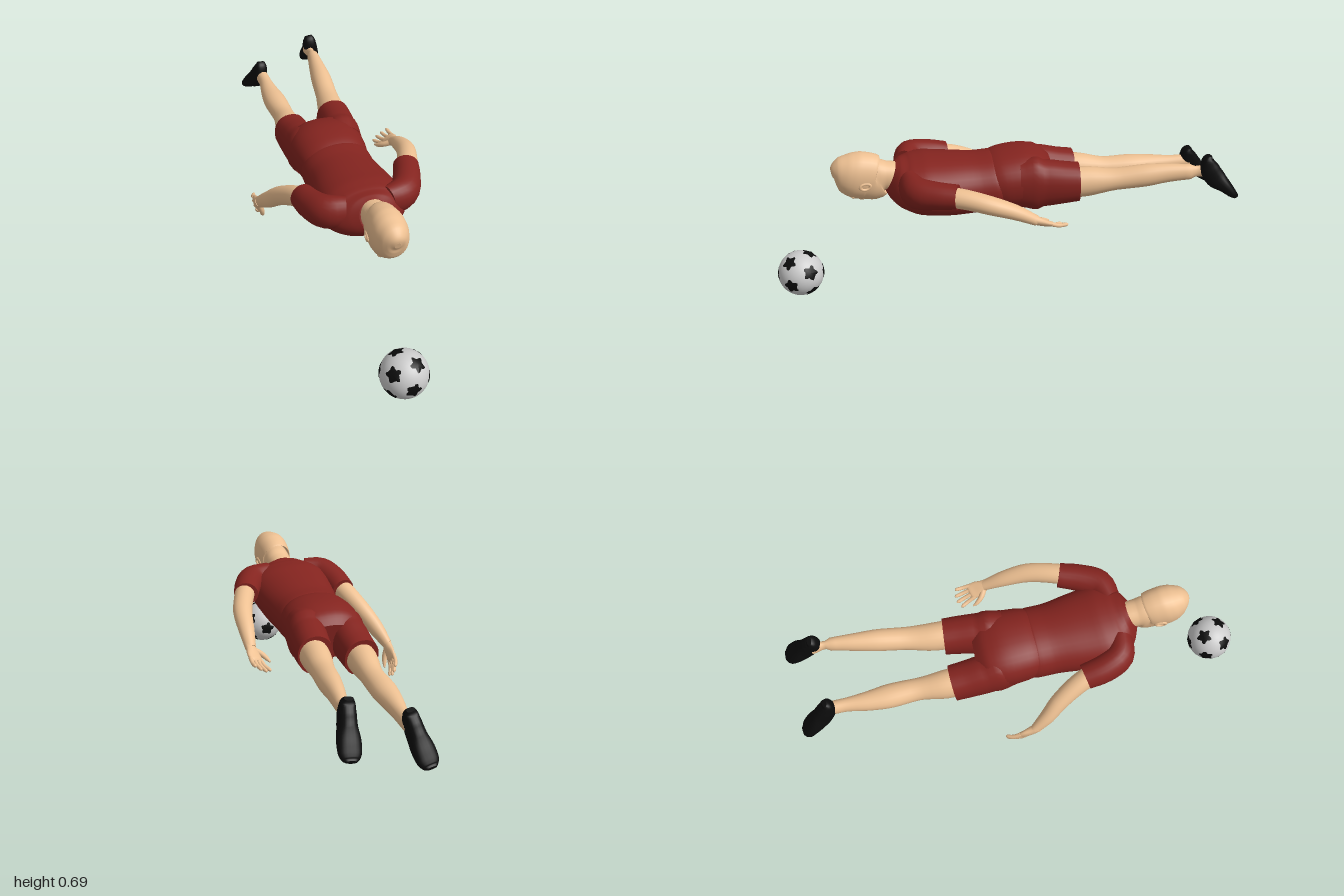
import * as THREE from 'three';

const material = (color) => new THREE.MeshStandardMaterial({ color, roughness: 0.8 });
const skin = material(0xedc092);
const red = material(0x84241f);
const black = material(0x0c0c0c);
const white = material(0xcccccc);

// Smooth tube of elliptical sections; rows are [x, y, z, halfWidth, halfHeight]
function loft(name, mat, rows, { ref = [0, 1, 0], sides = 24, steps = 4, power = 2 } = {}) {
  const path = new THREE.CatmullRomCurve3(rows.map((r) => new THREE.Vector3(r[0], r[1], r[2])));
  const size = new THREE.CatmullRomCurve3(rows.map((r) => new THREE.Vector3(r[3], r[4], 0)));
  const n = (rows.length - 1) * steps;
  const pos = [], index = [];
  const round = (v) => Math.sign(v) * Math.abs(v) ** (2 / power);
  const ring = (i) => {
    const c = path.getPoint(i / n), t = path.getTangent(i / n), s = size.getPoint(i / n);
    const up = new THREE.Vector3(...ref);
    up.addScaledVector(t, -up.dot(t)).normalize();
    const side = new THREE.Vector3().crossVectors(up, t);
    for (let k = 0; k < sides; k++) {
      const a = (k / sides) * Math.PI * 2;
      const p = c.clone()
        .addScaledVector(side, Math.max(s.x, 0.001) * round(Math.cos(a)))
        .addScaledVector(up, Math.max(s.y, 0.001) * round(Math.sin(a)));
      pos.push(p.x, p.y, p.z);
    }
    return c;
  };
  for (let i = 0; i <= n; i++) ring(i);
  for (let i = 0; i < n; i++) {
    for (let k = 0; k < sides; k++) {
      const k2 = (k + 1) % sides, a = i * sides, b = a + sides;
      index.push(a + k, a + k2, b + k2, a + k, b + k2, b + k);
    }
  }
  // Flat end caps
  for (const i of [0, n]) {
    const base = pos.length / 3;
    const c = ring(i);
    pos.push(c.x, c.y, c.z);
    for (let k = 0; k < sides; k++) {
      const a = base + k, b = base + ((k + 1) % sides);
      index.push(base + sides, i ? a : b, i ? b : a);
    }
  }
  const geo = new THREE.BufferGeometry();
  geo.setAttribute('position', new THREE.Float32BufferAttribute(pos, 3));
  geo.setIndex(index);
  geo.computeVertexNormals();
  const mesh = new THREE.Mesh(geo, mat);
  mesh.name = name;
  return mesh;
}

function ellipsoid(name, mat, p, r) {
  const mesh = new THREE.Mesh(new THREE.SphereGeometry(1, 16, 12), mat);
  mesh.name = name;
  mesh.position.set(...p);
  mesh.scale.set(...r);
  return mesh;
}

// Hand: fingers along local y, thumb towards local x, curling to palm * z
function hand(name, wrist, fingerDir, thumbDir, palm) {
  const g = new THREE.Group();
  g.name = name;
  const opt = { ref: [0, 0, 1], sides: 10, steps: 3 };
  g.add(loft('palm', skin, [
    [0, -0.015, 0, 0.022, 0.02], [0, 0.015, 0, 0.026, 0.018], [0, 0.05, 0, 0.035, 0.014],
    [0, 0.075, 0.002 * palm, 0.034, 0.011], [0, 0.084, 0.003 * palm, 0.026, 0.005]], { ...opt, sides: 16 }));
  [0.065, 0.075, 0.07, 0.055].forEach((len, i) => {
    const x = 0.026 - i * 0.0175, fan = x * 0.45;
    g.add(loft('finger', skin, [
      [x, 0.065, 0, 0.009, 0.009], [x + fan * 0.5, 0.075 + len * 0.45, palm * 0.004, 0.0085, 0.0085],
      [x + fan, 0.075 + len * 0.9, palm * 0.016, 0.0075, 0.0075],
      [x + fan, 0.075 + len, palm * 0.02, 0.003, 0.003]], opt));
  });
  g.add(loft('thumb', skin, [
    [0.012, 0.015, 0, 0.013, 0.013], [0.038, 0.04, palm * 0.008, 0.012, 0.012],
    [0.054, 0.07, palm * 0.014, 0.009, 0.009], [0.058, 0.09, palm * 0.018, 0.003, 0.003]], opt));
  const y = new THREE.Vector3(...fingerDir).normalize();
  const x = new THREE.Vector3(...thumbDir);
  x.addScaledVector(y, -x.dot(y)).normalize();
  const z = new THREE.Vector3().crossVectors(x, y);
  g.quaternion.setFromRotationMatrix(new THREE.Matrix4().makeBasis(x, y, z));
  g.position.set(...wrist);
  return g;
}

// Shoe from heel to toe: each row gives distance along the sole, height, half width
function shoe(name, x0, dy, out) {
  const along = [-0.83, -0.56], normal = [-0.55, 0.83]; // [y, z] directions
  const rows = [[0, 0.02, 0.018], [0.012, 0.05, 0.028], [0.05, 0.083, 0.034], [0.1, 0.086, 0.037],
    [0.15, 0.06, 0.046], [0.195, 0.042, 0.044], [0.215, 0.03, 0.034], [0.224, 0.014, 0.02]];
  return loft(name, black, rows.map(([s, h, w]) => [
    x0 + out * 0.036 * (s / 0.22),
    0.645 + dy + along[0] * s + (normal[0] * h) / 2,
    -0.866 + along[1] * s + (normal[1] * h) / 2, w, h / 2]), { ref: [0, normal[0], normal[1]], power: 2.5 });
}

// Ball: sphere with twelve black pentagons at icosahedron corners
function ball() {
  const g = new THREE.Group();
  g.name = 'ball';
  const R = 0.1;
  const core = new THREE.Mesh(new THREE.SphereGeometry(R, 32, 24), white);
  core.name = 'ballSurface';
  g.add(core);
  const patch = new THREE.RingGeometry(0.0001, 0.035, 5, 4);
  const p = patch.attributes.position, v = new THREE.Vector3();
  for (let i = 0; i < p.count; i++) {
    v.fromBufferAttribute(p, i).setZ(0.0937).setLength(R + 0.0012);
    p.setXYZ(i, v.x, v.y, v.z);
  }
  patch.computeVertexNormals();
  for (const end of [0, 1]) {
    for (let i = 0; i < 6; i++) {
      const m = new THREE.Mesh(patch, black);
      m.name = 'pentagon';
      // One pole patch, then five around it, repeated on the far side
      const spin = new THREE.Quaternion().setFromAxisAngle(new THREE.Vector3(0, 0, 1), i * Math.PI * 0.4);
      const tilt = new THREE.Quaternion().setFromAxisAngle(new THREE.Vector3(0, 1, 0), i ? Math.atan(2) : 0);
      const turn = new THREE.Quaternion().setFromAxisAngle(new THREE.Vector3(0, 0, 1), i ? Math.PI : 0);
      const flip = new THREE.Quaternion().setFromAxisAngle(new THREE.Vector3(0, 1, 0), end * Math.PI);
      if (end) flip.multiply(new THREE.Quaternion().setFromAxisAngle(new THREE.Vector3(0, 0, 1), 0));
      m.quaternion.copy(flip).multiply(spin).multiply(tilt).multiply(turn);
      g.add(m);
    }
  }
  g.rotation.z = -0.09;
  g.position.set(-0.027, 0.101, 0.9);
  return g;
}

export function createModel() {
  const model = new THREE.Group();
  model.name = 'divingPlayer';

  // Head and neck, face down
  model.add(loft('head', skin, [
    [0, 0.605, 0.725, 0.012, 0.015], [0, 0.607, 0.717, 0.036, 0.043], [0, 0.607, 0.698, 0.057, 0.07],
    [0, 0.6, 0.66, 0.073, 0.092], [0, 0.591, 0.62, 0.077, 0.104], [0, 0.582, 0.58, 0.074, 0.104],
    [0, 0.571, 0.548, 0.066, 0.098], [0, 0.578, 0.525, 0.06, 0.077], [0, 0.578, 0.5, 0.056, 0.062],
    [0, 0.57, 0.45, 0.056, 0.06]], { sides: 32, power: 2.15 }));
  model.add(ellipsoid('nose', skin, [0, 0.487, 0.607], [0.012, 0.02, 0.02]));
  model.add(ellipsoid('mouth', skin, [0, 0.478, 0.567], [0.022, 0.008, 0.01]));
  for (const s of [-1, 1]) {
    model.add(ellipsoid('brow', skin, [s * 0.026, 0.51, 0.645], [0.024, 0.012, 0.012]));
    const ear = new THREE.Mesh(new THREE.TorusGeometry(0.017, 0.006, 8, 16), skin);
    ear.name = 'ear';
    ear.position.set(s * 0.074, 0.572, 0.592);
    ear.rotation.y = Math.PI / 2 + s * 0.15;
    ear.scale.set(1.25, 0.85, 1);
    model.add(ear);
  }

  // Shirt and shorts
  model.add(loft('shirt', red, [
    [0, 0.575, 0.483, 0.062, 0.064], [0, 0.567, 0.465, 0.105, 0.08], [0, 0.55, 0.425, 0.16, 0.1],
    [0, 0.53, 0.35, 0.18, 0.12], [0, 0.515, 0.24, 0.17, 0.125], [0, 0.509, 0.12, 0.154, 0.122],
    [0, 0.512, 0.05, 0.154, 0.121], [0, 0.514, 0.025, 0.15, 0.116]], { sides: 36, power: 2.15 }));
  model.add(loft('shortsHips', red, [
    [0, 0.515, 0.045, 0.146, 0.112], [0, 0.522, 0, 0.156, 0.121], [0, 0.525, -0.08, 0.162, 0.124],
    [0.005, 0.52, -0.15, 0.155, 0.112], [0.007, 0.515, -0.195, 0.12, 0.08]], { sides: 36, power: 2.3 }));
  model.add(loft('rightShortsLeg', red, [
    [-0.078, 0.515, -0.06, 0.08, 0.1], [-0.085, 0.505, -0.16, 0.08, 0.1],
    [-0.086, 0.492, -0.25, 0.077, 0.09], [-0.086, 0.486, -0.32, 0.075, 0.083]], { power: 2.2 }));
  model.add(loft('leftShortsLeg', red, [
    [0.08, 0.525, -0.06, 0.08, 0.105], [0.092, 0.525, -0.16, 0.08, 0.105],
    [0.105, 0.526, -0.25, 0.077, 0.092], [0.112, 0.527, -0.31, 0.074, 0.084]], { power: 2.2 }));
  model.add(loft('rightSleeve', red, [
    [-0.09, 0.565, 0.41, 0.05, 0.07], [-0.165, 0.563, 0.385, 0.062, 0.072],
    [-0.2, 0.55, 0.31, 0.06, 0.065], [-0.212, 0.535, 0.225, 0.054, 0.056]]));
  model.add(loft('leftSleeve', red, [
    [0.09, 0.568, 0.41, 0.05, 0.07], [0.165, 0.575, 0.385, 0.062, 0.068],
    [0.212, 0.583, 0.31, 0.058, 0.058], [0.243, 0.588, 0.228, 0.053, 0.05]]));

  // Arms and hands
  model.add(loft('rightArm', skin, [
    [-0.2, 0.55, 0.3, 0.045, 0.045], [-0.227, 0.522, 0.2, 0.043, 0.044], [-0.27, 0.465, 0.1, 0.038, 0.041],
    [-0.305, 0.41, 0.04, 0.032, 0.036], [-0.331, 0.36, -0.02, 0.02, 0.025]]));
  model.add(hand('rightHand', [-0.331, 0.362, -0.018], [-0.02, -0.62, -0.76], [0.1, -0.75, 0.6], 1));
  model.add(loft('leftArm', skin, [
    [0.22, 0.588, 0.3, 0.045, 0.043], [0.262, 0.584, 0.2, 0.043, 0.041], [0.297, 0.565, 0.1, 0.041, 0.038],
    [0.311, 0.53, 0, 0.034, 0.031], [0.32, 0.487, -0.085, 0.023, 0.021]]));
  model.add(hand('leftHand', [0.32, 0.49, -0.078], [-0.06, -0.42, -0.9], [-0.85, -0.5, 0.1], -1));

  // Legs and shoes
  model.add(loft('rightLeg', skin, [
    [-0.083, 0.485, -0.25, 0.063, 0.07], [-0.082, 0.481, -0.35, 0.061, 0.067], [-0.073, 0.475, -0.47, 0.048, 0.047],
    [-0.073, 0.474, -0.58, 0.052, 0.047], [-0.072, 0.472, -0.68, 0.042, 0.041],
    [-0.065, 0.471, -0.78, 0.029, 0.034], [-0.064, 0.472, -0.86, 0.028, 0.034]]));
  model.add(loft('leftLeg', skin, [
    [0.115, 0.528, -0.25, 0.062, 0.07], [0.121, 0.53, -0.35, 0.06, 0.065], [0.139, 0.54, -0.47, 0.049, 0.047],
    [0.154, 0.553, -0.58, 0.047, 0.049], [0.166, 0.563, -0.68, 0.037, 0.042],
    [0.18, 0.566, -0.78, 0.027, 0.034], [0.183, 0.568, -0.86, 0.027, 0.034]]));
  model.add(shoe('rightShoe', -0.062, -0.097, -1));
  model.add(shoe('leftShoe', 0.184, 0, 1));

  model.add(ball());
  return model;
}
